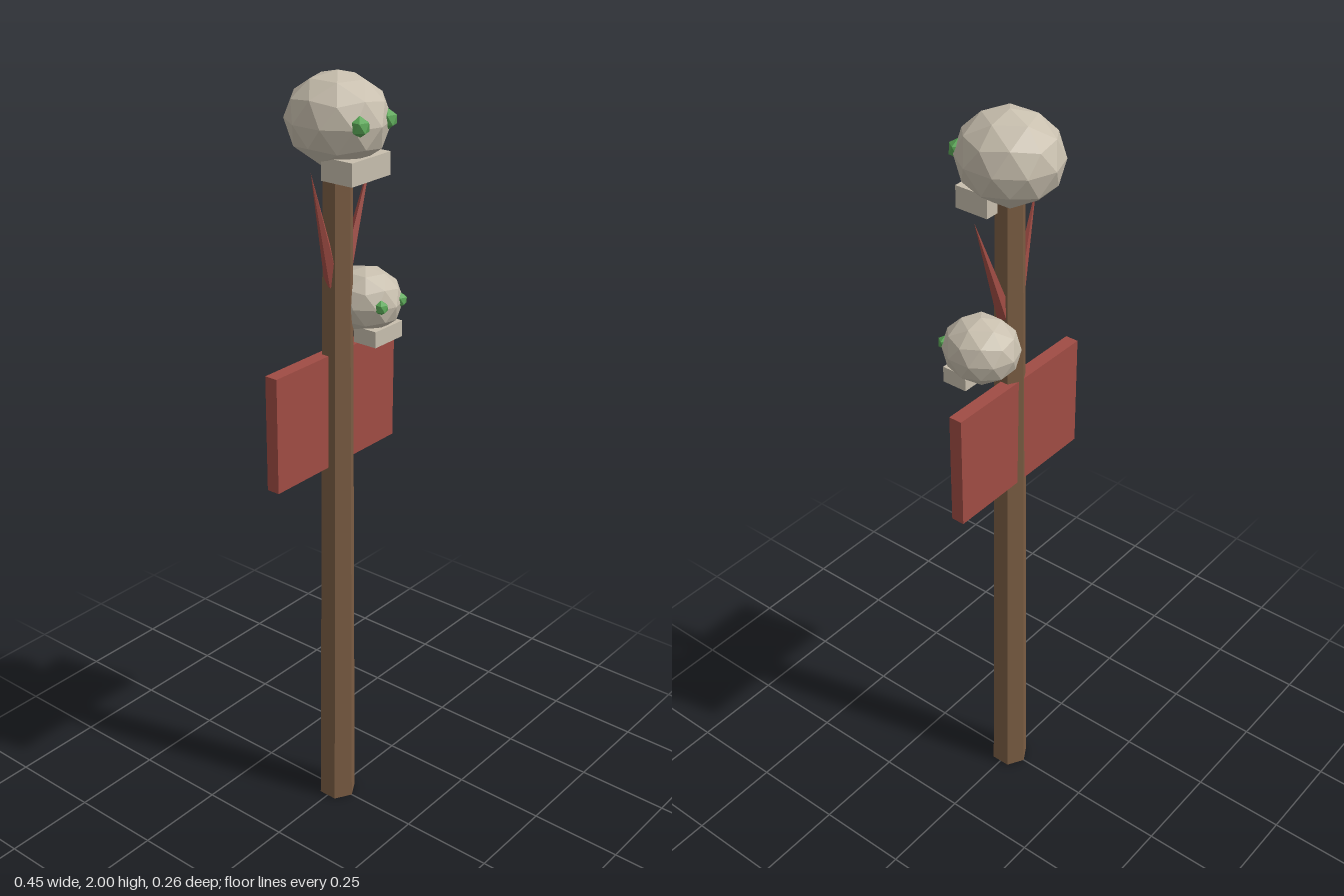
import * as THREE from 'three';

const material = (name, color, flatShading = true) => {
  const m = new THREE.MeshStandardMaterial({ color, flatShading });
  m.name = name;
  return m;
};

export function createModel() {
  const wood = material('wood', 0x7b5d43);
  const bone = material('bone', 0xc8bfae);
  const red = material('red', 0xa04c44);
  const green = material('green', 0x5aa656);
  const root = new THREE.Group();
  root.name = 'skullTotem';

  const add = (parent, name, geometry, mat, x = 0, y = 0, z = 0) => {
    const mesh = new THREE.Mesh(geometry, mat);
    mesh.name = name;
    mesh.position.set(x, y, z);
    parent.add(mesh);
    return mesh;
  };

  // Faceted ball with one corner pointing straight up
  const ball = (rx, ry, rz, detail) =>
    new THREE.IcosahedronGeometry(1, detail)
      .rotateX(-Math.atan((1 + Math.sqrt(5)) / 2))
      .rotateY(Math.PI / 2)
      .scale(rx, ry, rz);

  // Tapered six-sided pole
  add(root, 'pole', new THREE.CylinderGeometry(0.037, 0.051, 1.8, 6), wood, 0, 0.9, 0);

  // Sign board set into the rear half of the pole
  add(root, 'board', new THREE.BoxGeometry(0.45, 0.3, 0.035), red, 0, 1.17, -0.0175);

  // Skull with jaw and glowing eyes
  const addSkull = (name, x, y, z, size) => {
    const skull = new THREE.Group();
    skull.name = name;
    add(skull, 'cranium', ball(0.118, 0.11, 0.1285, 1), bone);
    add(skull, 'jaw', new THREE.BoxGeometry(0.14, 0.055, 0.09), bone, 0, -0.1, 0.054);
    for (const [side, s] of [['left', 1], ['right', -1]]) {
      add(skull, side + 'Eye', ball(0.025, 0.025, 0.025, 0), green, s * 0.05, 0.006, 0.104);
    }
    skull.position.set(x, y, z);
    skull.scale.setScalar(size);
    root.add(skull);
  };
  addSkull('topSkull', 0, 1.89, 0, 1);
  addSkull('sideSkull', 0.09, 1.436, 0.013, 0.75);

  // Thin spikes slanting out from the pole, from base to tip
  const addSpike = (name, base, tip) => {
    const a = new THREE.Vector3(...base);
    const axis = new THREE.Vector3(...tip).sub(a);
    const length = axis.length();
    const geometry = new THREE.ConeGeometry(0.02, length, 5).translate(0, length / 2, 0);
    const spike = add(root, name, geometry, red, ...base);
    spike.quaternion.setFromUnitVectors(new THREE.Vector3(0, 1, 0), axis.normalize());
  };
  addSpike('leftSpike', [0.022, 1.5, 0], [0.125, 1.78, 0]);
  addSpike('rightSpike', [-0.018, 1.5, 0], [-0.096, 1.785, 0]);

  return root;
}
